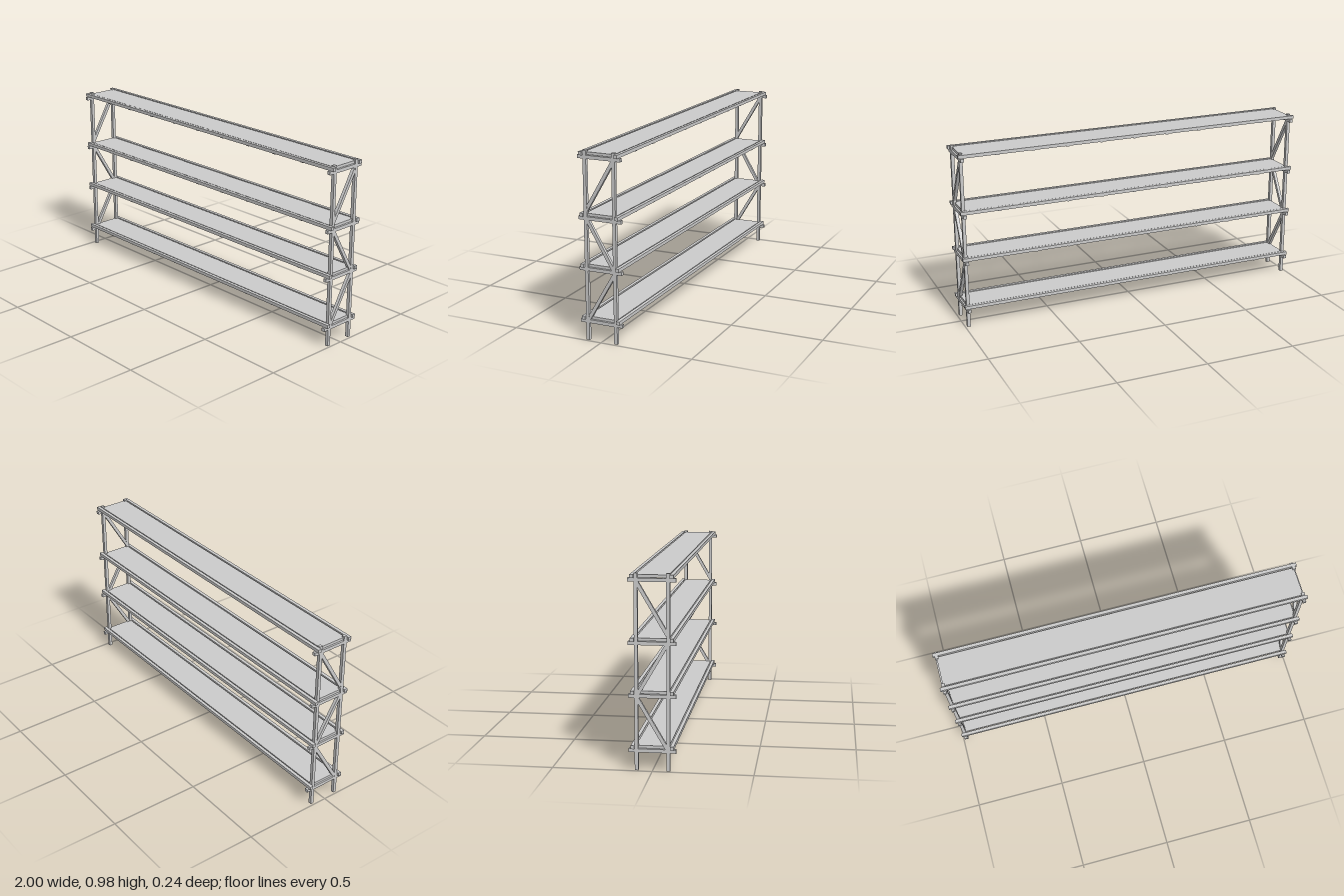
import * as THREE from 'three';

export function createModel() {
  const group = new THREE.Group();
  group.name = 'shelvingRack';
  const material = new THREE.MeshStandardMaterial({ color: 0xcccccc });

  const T = 0.018;      // timber thickness
  const postX = 0.98;
  const postZ = 0.079;
  const levels = [0.11, 0.385, 0.647, 0.956]; // top of each cross rail

  function box(name, w, h, d, x, y, z) {
    const mesh = new THREE.Mesh(new THREE.BoxGeometry(w, h, d), material);
    mesh.name = name;
    mesh.position.set(x, y, z);
    group.add(mesh);
    return mesh;
  }

  // diagonal braces as [frontToBack z start, y start, z end, y end]
  const braces = [
    [0.076, 0.106, -0.076, 0.366],
    [0.076, 0.638, -0.076, 0.378],
    [0.076, 0.678, -0.076, 0.938],
  ];

  // end frames
  for (const side of [-1, 1]) {
    const x = side * postX;
    for (const s of [-1, 1]) box('post', T, 0.98, T, x, 0.49, s * postZ);
    for (const y of levels) box('crossRail', T, T, 0.236, x, y - T / 2, 0);
    for (const [z0, y0, z1, y1] of braces) {
      const dy = y1 - y0, dz = z1 - z0;
      const brace = box('diagonalBrace', T * 0.95, Math.hypot(dy, dz), T,
        x, (y0 + y1) / 2, (z0 + z1) / 2);
      brace.rotation.x = Math.atan2(dz, dy);
    }
  }

  // shelves: long rails outside the posts, panel between them, thin battens beneath
  for (const y of levels) {
    for (const s of [-1, 1]) box('longRail', 2, T, T, 0, y + T / 2, s * 0.0975);
    box('shelfPanel', 1.962, 0.014, 0.164, 0, y + 0.009, 0);
    for (let i = -4; i <= 4; i++) {
      box('batten', T, 0.007, 0.2, i * 0.196, y - 0.0015, 0);
    }
  }

  return group;
}
